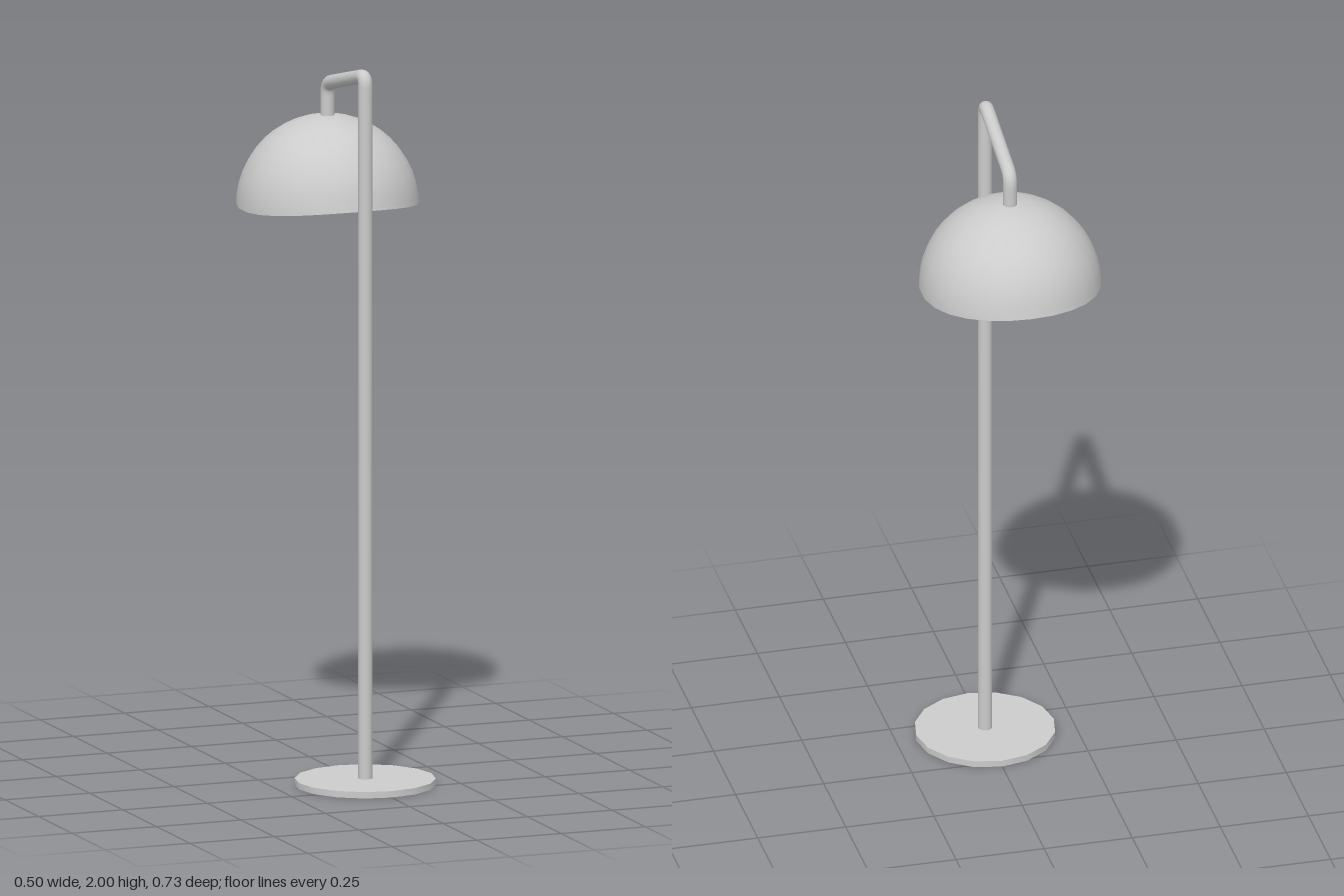
import * as THREE from 'three';
import { toCreasedNormals } from 'three/addons/utils/BufferGeometryUtils.js';

const POLE_Z = 0.168, SHADE_Z = -0.115, TUBE_R = 0.0195;
const SHADE_Y = 1.577, SHADE_R = 0.252, WALL = 0.006;

const grey = new THREE.MeshStandardMaterial({ color: 0xcccccc });
const greyOpen = new THREE.MeshStandardMaterial({ color: 0xcccccc, side: THREE.DoubleSide });

function part(name, geometry, z = 0, material = grey) {
  const mesh = new THREE.Mesh(geometry, material);
  mesh.name = name;
  mesh.position.z = z;
  return mesh;
}

const lathe = (points, sides) =>
  new THREE.LatheGeometry(points.map(([r, y]) => new THREE.Vector2(r, y)), sides);

// A path sampled exactly at the given points, so the bends stay tight
class PointPath extends THREE.Curve {
  constructor(points) {
    super();
    this.points = points;
  }
  index(u) {
    return Math.round(u * (this.points.length - 1));
  }
  getPointAt(u) {
    return this.points[this.index(u)].clone();
  }
  getTangentAt(u) {
    const i = this.index(u), p = this.points;
    const before = p[Math.max(i - 1, 0)], after = p[Math.min(i + 1, p.length - 1)];
    return after.clone().sub(before).normalize();
  }
}

// Straight runs joined by small rounded corners
function roundedPath(corners, radius) {
  const points = [corners[0]];
  for (let i = 1; i < corners.length - 1; i++) {
    const c = corners[i];
    const toward = (o) => c.clone().add(o.clone().sub(c).setLength(radius));
    const a = toward(corners[i - 1]), b = toward(corners[i + 1]);
    // extra points keep the straight runs at full thickness
    points.push(a.clone().lerp(corners[i - 1], 0.02));
    points.push(...new THREE.QuadraticBezierCurve3(a, c, b).getPoints(6));
    points.push(b.clone().lerp(corners[i + 1], 0.02));
  }
  points.push(corners[corners.length - 1]);
  return new PointPath(points);
}

// Hemispherical shell whose rim rises gently at front and back
function shadeGeometry() {
  const rings = 12;
  const arc = (r) => Array.from({ length: rings + 1 }, (_, i) => {
    const a = (i / rings) * Math.PI / 2;
    return [i === rings ? 0 : r * Math.cos(a), SHADE_Y + r * Math.sin(a)];
  });
  const geometry = lathe([...arc(SHADE_R - WALL).reverse(), ...arc(SHADE_R)], 26);
  const pos = geometry.attributes.position;
  for (let i = 0; i < pos.count; i++) {
    if (pos.getY(i) < SHADE_Y + 0.001) {
      const rise = 0.025 * (pos.getZ(i) / SHADE_R) ** 2;
      pos.setY(i, SHADE_Y + rise);
    }
  }
  return toCreasedNormals(geometry, Math.PI / 4);
}

export function createModel() {
  const lamp = new THREE.Group();
  lamp.name = 'floorLamp';

  // Flat round foot with a hole for the pole
  const foot = lathe([[TUBE_R, 0], [0.195, 0], [0.195, 0.018], [TUBE_R, 0.018]], 16);
  lamp.add(part('base', toCreasedNormals(foot, Math.PI / 6), POLE_Z));

  // One bent tube: upright, sloping arm and short drop to the shade
  const path = roundedPath([
    new THREE.Vector3(0, 0, POLE_Z),
    new THREE.Vector3(0, 1.99, POLE_Z),
    new THREE.Vector3(0, 1.918, SHADE_Z),
    new THREE.Vector3(0, 1.815, SHADE_Z),
  ], 0.03);
  const tube = new THREE.TubeGeometry(path, path.points.length - 1, TUBE_R, 16);
  lamp.add(part('poleAndArm', tube, 0, greyOpen));

  // Dome shade
  lamp.add(part('shade', shadeGeometry(), SHADE_Z));

  // Round light unit inside the shade, with a bevelled lower edge
  const light = lathe([[0, 1.61], [0.13, 1.61], [0.137, 1.618], [0.137, 1.78]], 26);
  lamp.add(part('lightUnit', toCreasedNormals(light, Math.PI / 6), SHADE_Z));

  return lamp;
}
